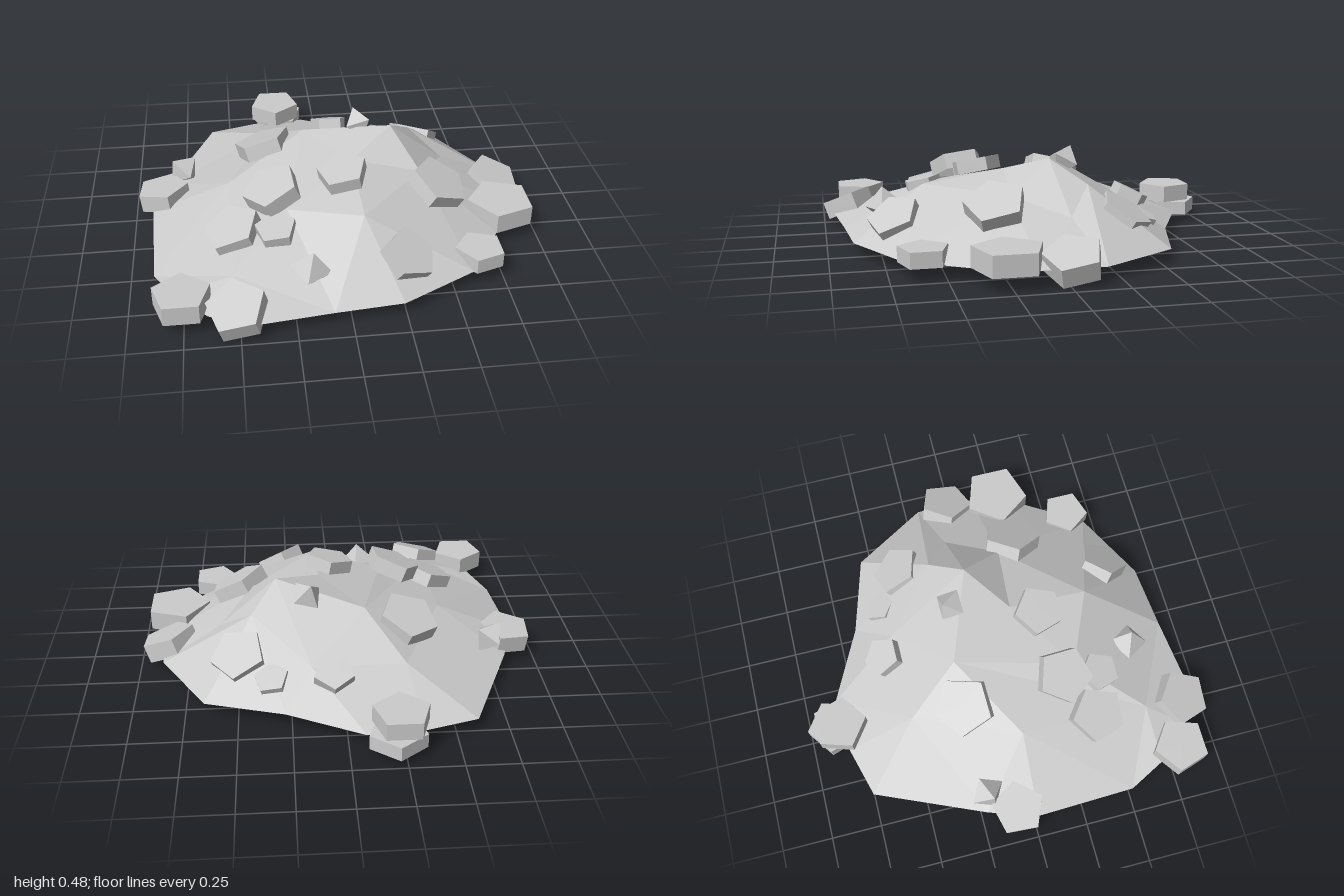
import * as THREE from 'three';

const stoneMaterial = new THREE.MeshStandardMaterial({ color: 0xcccccc, flatShading: true, side: THREE.DoubleSide });
const UP = new THREE.Vector3(0, 1, 0);
const GROUND = 0.065;

// Mound contours, each point is [x, z, y]; y falls back to the ground level
const rim = [
  [-0.6, -0.75], [-0.35, -0.82], [-0.08, -0.84], [0.28, -0.66], [0.66, -0.55], [0.88, -0.18],
  [0.88, 0.12], [0.78, 0.4], [0.6, 0.69], [0.24, 0.88], [-0.08, 0.91], [-0.42, 0.95],
  [-0.64, 0.87], [-0.8, 0.7], [-0.89, 0.52, 0.035], [-0.91, 0.02], [-0.83, -0.22],
];
const slope = [
  [-0.3, -0.47, 0.2], [0.15, -0.48, 0.2], [0.43, -0.21, 0.34], [0.59, -0.09, 0.22], [0.43, 0.16, 0.3],
  [0.1, 0.53, 0.31], [-0.25, 0.38, 0.27], [-0.52, 0.69, 0.14], [-0.52, 0.04, 0.22],
];
const crown = [[-0.12, -0.21, 0.36], [0.31, -0.05, 0.45], [0.09, 0.13, 0.37]];

// Joins two contours with triangles, always taking the shorter diagonal
function stitch(outer, inner, out) {
  const angle = ([x, z]) => Math.atan2(z + 0.04, x - 0.1);
  const sorted = (ring) => [...ring].sort((p, q) => angle(p) - angle(q));
  const a = sorted(outer), b = sorted(inner);
  const at = (ring, i) => ring[i % ring.length];
  const span = (p, q) => Math.hypot(p[0] - q[0], p[1] - q[1]);
  let i = 0, j = 0;
  while (i < a.length || j < b.length) {
    const outerIsShorter = span(at(a, i + 1), at(b, j)) < span(at(a, i), at(b, j + 1));
    const stepOuter = j >= b.length || (i < a.length && outerIsShorter);
    if (stepOuter) out.push(at(a, i), at(b, j), at(a, ++i));
    else out.push(at(a, i), at(b, j), at(b, ++j));
  }
}

function makeMound() {
  const corners = [];
  stitch(rim, slope, corners);
  stitch(slope, crown, corners);
  corners.push(crown[0], crown[2], crown[1]);
  const geometry = new THREE.BufferGeometry();
  const positions = corners.flatMap(([x, z, y = GROUND]) => [x, y, z]);
  geometry.setAttribute('position', new THREE.Float32BufferAttribute(positions, 3));
  geometry.computeVertexNormals();
  const mesh = new THREE.Mesh(geometry, stoneMaterial);
  mesh.name = 'mound';
  return mesh;
}

// Five-sided slab, open underneath: centre, radius, angle of one corner, lean of its top, thickness
function makeSlab([x, y, z, radius, corner, leanX = 0, leanZ = 0, thickness = 0.085]) {
  const start = Math.PI / 2 - THREE.MathUtils.degToRad(corner);
  const half = thickness / 2;
  const profile = [[radius, -half], [radius, half], [0, half]].map((p) => new THREE.Vector2(...p));
  const mesh = new THREE.Mesh(new THREE.LatheGeometry(profile, 5, start), stoneMaterial);
  mesh.position.set(x, y, z);
  mesh.quaternion.setFromUnitVectors(UP, new THREE.Vector3(leanX, 1, leanZ).normalize());
  mesh.name = 'slab';
  return mesh;
}

// Small pointed stone: centre, radius, rotation
function makePebble([x, y, z, radius, rx, ry, rz]) {
  const mesh = new THREE.Mesh(new THREE.OctahedronGeometry(radius), stoneMaterial);
  mesh.position.set(x, y, z);
  mesh.rotation.set(rx, ry, rz);
  mesh.name = 'pebble';
  return mesh;
}

// Slabs lying round the edge of the mound
const edgeSlabs = [
  [-0.755, 0.112, 0.8, 0.137, 54, 0, 0, 0.095],
  [0.83, 0.118, 0.25, 0.168, 36, 0, 0, 0.1],
  [0.645, 0.102, 0.595, 0.12, 36, 0, 0, 0.075],
  [-0.235, 0.153, -0.835, 0.137, 18],
  [-0.215, 0.075, -0.865, 0.138, 54, 0, 0, 0.07],
  [-0.855, 0.107, -0.07, 0.133, 4, -0.12, -0.08, 0.09],
  [-0.51, 0.097, 0.88, 0.14, 54, -0.22, 0.35, 0.09],
  [0.855, 0.095, -0.03, 0.14, 36, 0.35, 0.2, 0.095],
];
// Slabs resting on the slopes
const slopeSlabs = [
  [-0.51, 0.2, 0.425, 0.14, 54, -0.35, 0.2, 0.075],
  [-0.31, 0.23, 0.49, 0.1, 54, -0.12, 0.2, 0.06],
  [-0.31, 0.33, 0.3, 0.142, 33, -0.4, 0.15, 0.08],
  [-0.33, 0.285, -0.21, 0.15, 54, -0.3, -0.3, 0.08],
  [0.05, 0.2, -0.54, 0.1, 54, 0, -0.5, 0.06],
  [0.34, 0.15, -0.5, 0.085, 20, 0.2, -0.4, 0.05],
  [0.49, 0.2, -0.365, 0.137, -5, 0.3, -0.55, 0.08],
  [0.5, 0.27, 0.245, 0.15, 36, 0.5, 0.25, 0.08],
  [0.28, 0.18, 0.685, 0.13, 40, 0.48, 0.5, 0.08],
  [0.03, 0.38, 0.26, 0.125, 54, -0.2, 0.15, 0.065],
];
const pebbles = [
  [0.16, 0.41, -0.16, 0.085, -0.23, -0.86, 0.38],
  [-0.165, 0.155, 0.7, 0.1, 0.1, -0.24, -0.1],
  [-0.75, 0.165, -0.2, 0.09, 0, 0.4, 0.7],
];

export function createModel() {
  const model = new THREE.Group();
  model.name = 'rubblePile';
  model.add(makeMound());
  const addSet = (name, items, make) => {
    const group = new THREE.Group();
    group.name = name;
    items.forEach((item) => group.add(make(item)));
    model.add(group);
  };
  addSet('edgeSlabs', edgeSlabs, makeSlab);
  addSet('slopeSlabs', slopeSlabs, makeSlab);
  addSet('pebbles', pebbles, makePebble);
  return model;
}
